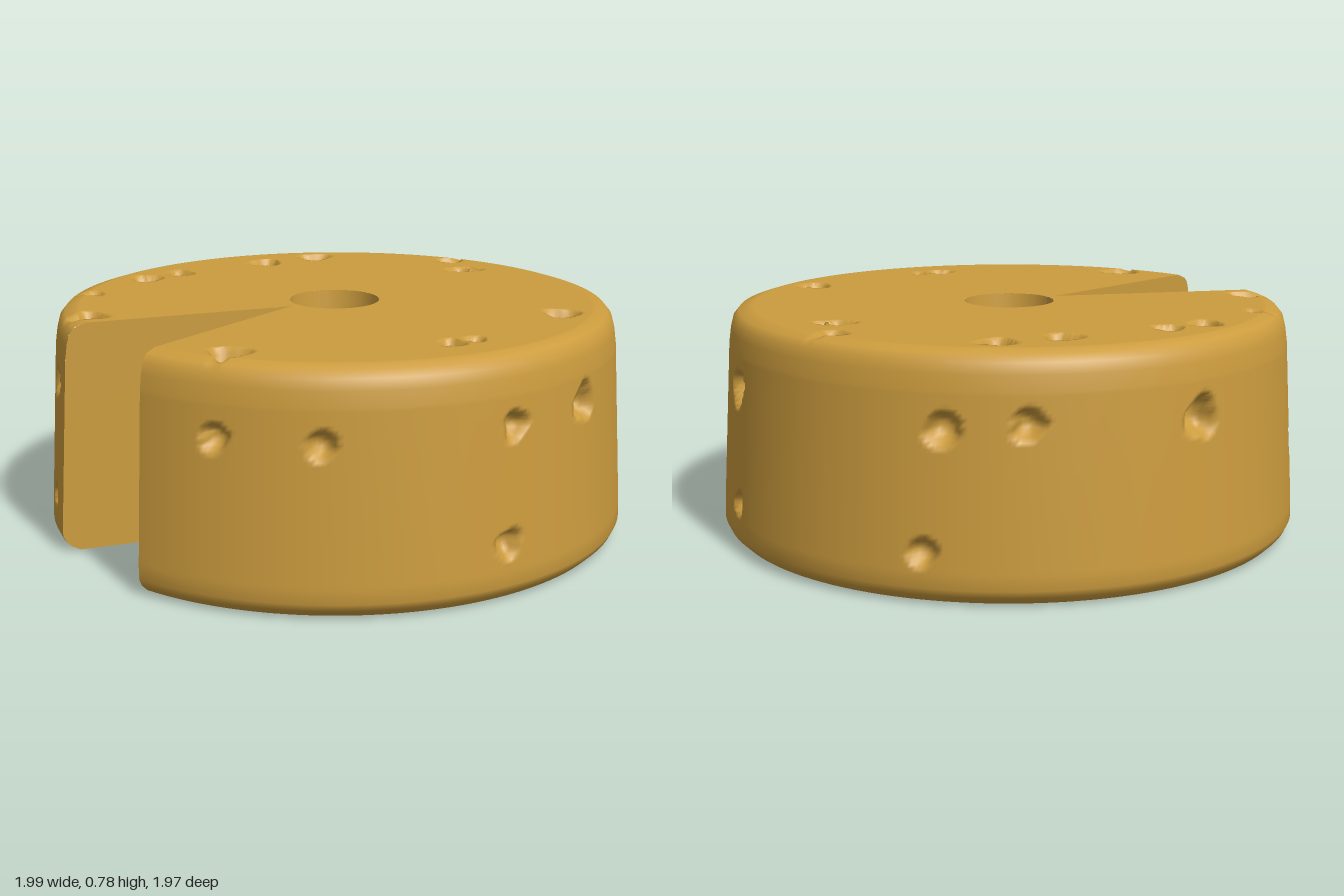
import * as THREE from 'three';

const TOP = 0.78, APEX = 0.185, CZ = 0.015, DEG = Math.PI / 180;

// Sideways offset of a cut wall at radius r (side: 1 = +x wall, -1 = -x wall)
const cutX = (r, side) => side * (side > 0 ? 0.23 : 0.26) * Math.max(0, (r - APEX) / (1 - APEX));

// Point on the wheel; the centre drifts slightly so the hole is off axis
const polar = (r, y, a) => new THREE.Vector3(r * Math.sin(a) - 0.01 * (1 - r), y, r * Math.cos(a) + CZ);

// Indexed surface from a function of row and column
function grid(rows, cols, fn) {
  const pos = [], idx = [];
  for (let i = 0; i <= rows; i++) {
    for (let j = 0; j <= cols; j++) {
      pos.push(...fn(i, j / cols).toArray());
      if (i < rows && j < cols) {
        const a = i * (cols + 1) + j, b = a + cols + 1;
        idx.push(a, b, a + 1, b, b + 1, a + 1);
      }
    }
  }
  const g = new THREE.BufferGeometry();
  g.setAttribute('position', new THREE.Float32BufferAttribute(pos, 3));
  g.setIndex(idx);
  g.computeVertexNormals();
  return g;
}

// Expand [r, y, steps] entries into a dense profile
function profile(list) {
  const out = [[list[0][0], list[0][1]]];
  for (let k = 1; k < list.length; k++) {
    const [r0, y0] = list[k - 1], [r1, y1, n = 1] = list[k];
    for (let s = 1; s <= n; s++) out.push([r0 + (r1 - r0) * s / n, y0 + (y1 - y0) * s / n]);
  }
  return out;
}

// Revolved surface that opens up along the wedge cut
function revolve(path, cols, dent = p => p) {
  return grid(path.length - 1, cols, (i, t) => {
    const [r, y] = path[i];
    const a0 = Math.asin(cutX(r, 1) / r), a1 = 2 * Math.PI + Math.asin(cutX(r, -1) / r);
    return dent(polar(r, y, a0 + (a1 - a0) * t));
  });
}

// Rounded outer edge, from bottom to top
const EDGE = [[0.94, 0], [0.96, 0.006], [0.985, 0.03], [0.997, 0.055], [0.996, 0.1],
  [0.963, 0.66], [0.956, 0.71], [0.947, 0.745], [0.928, 0.768], [0.89, TOP]];

function edgeRadius(y) {
  for (let k = 1; k < EDGE.length; k++) {
    const [r0, y0] = EDGE[k - 1], [r1, y1] = EDGE[k];
    if (y <= y1) return r0 + (r1 - r0) * (y - y0) / (y1 - y0);
  }
  return EDGE[EDGE.length - 1][0];
}

// Pits on the top: x, z, radius
const topPits = [[-0.29, -0.78, 0.045], [-0.13, -0.68, 0.045], [-0.11, -0.72, 0.04], [-0.67, -0.41, 0.06],
  [-0.7, -0.19, 0.06], [-0.73, 0.18, 0.05], [-0.72, 0.33, 0.055], [-0.61, 0.62, 0.035], [-0.31, 0.81, 0.055],
  [0.64, -0.44, 0.06], [0.73, 0.04, 0.035], [0.72, 0.13, 0.045], [0.39, 0.74, 0.065]];
// Pits around the side: angle from the front, height, radius
const sidePits = [[29.5, 0.55, 0.045], [49, 0.54, 0.045], [86, 0.56, 0.045], [84, 0.19, 0.045],
  [106, 0.57, 0.06], [153, 0.53, 0.05], [174, 0.55, 0.06], [176, 0.17, 0.04], [225, 0.16, 0.045],
  [228.5, 0.55, 0.055], [244, 0.56, 0.05], [278, 0.54, 0.065], [322, 0.33, 0.065],
  [338, 0.56, 0.045], [338, 0.17, 0.035]];

const pits = [
  ...topPits.map(([x, z, size]) => ({ c: new THREE.Vector3(x, TOP, z), size, dir: new THREE.Vector3(0, -1, 0) })),
  ...sidePits.map(([deg, y, size]) => {
    const a = deg * DEG;
    return { c: polar(edgeRadius(y), y, a), size, dir: new THREE.Vector3(-Math.sin(a), 0, -Math.cos(a)) };
  }),
];

// Push points inside a pit inwards; the rim is slightly uneven
function dent(p) {
  const hit = pits.findIndex(q => q.c.distanceTo(p) < q.size * 1.15);
  if (hit < 0) return p;
  const { c, size, dir } = pits[hit], d = p.clone().sub(c);
  const a = Math.atan2(dir.y ? d.z : d.y, d.x + d.z * (dir.y ? 0 : 1));
  const q = d.length() / (size * (1 + 0.13 * Math.sin(3 * a + hit * 2)));
  return q < 1 ? p.addScaledVector(dir, size * 1.1 * (1 - q ** 3)) : p;
}

// Flat wall of the wedge cut, with an optional oval pit [r, y, radius r, radius y]
function cutWall(side, hollows) {
  const n = 48;
  return grid(n, n, (i, u) => {
    const y = TOP * (side > 0 ? 1 - i / n : i / n);
    const r = APEX + (edgeRadius(y) - APEX) * u;
    const p = polar(r, y, Math.asin(cutX(r, side) / r));
    for (const [hr, hy, sr, sy] of hollows) {
      const q = Math.hypot((r - hr) / sr, (y - hy) / sy);
      if (q < 1) p.x += side * 0.07 * (1 - q ** 3);
    }
    return p;
  });
}

export function createModel() {
  const group = new THREE.Group();
  const cheese = new THREE.MeshStandardMaterial({ color: 0xcc9c3e });
  cheese.name = 'golden cheese';
  const add = (name, geometry) => {
    const mesh = new THREE.Mesh(geometry, cheese);
    mesh.name = name;
    group.add(mesh);
  };

  // Top, rounded side and underside in one skin
  const outer = EDGE.slice().reverse().map(([r, y], k) => [r, y, k === 0 ? 30 : y === 0.1 ? 44 : 1]);
  add('wheelBody', revolve(profile([[0.155, TOP], [APEX, TOP], [0.55, TOP, 4], ...outer,
    [0.9, 0], [APEX, 0, 3], [0.09, 0]]), 400, dent));

  // Tapered hole through the middle
  add('centreHole', revolve([[0.09, 0], [0.155, TOP]], 40));

  // Walls of the missing wedge
  add('cutWallLeft', cutWall(1, [[0.78, 0.58, 0.11, 0.1]]));
  add('cutWallRight', cutWall(-1, []));
  return group;
}
